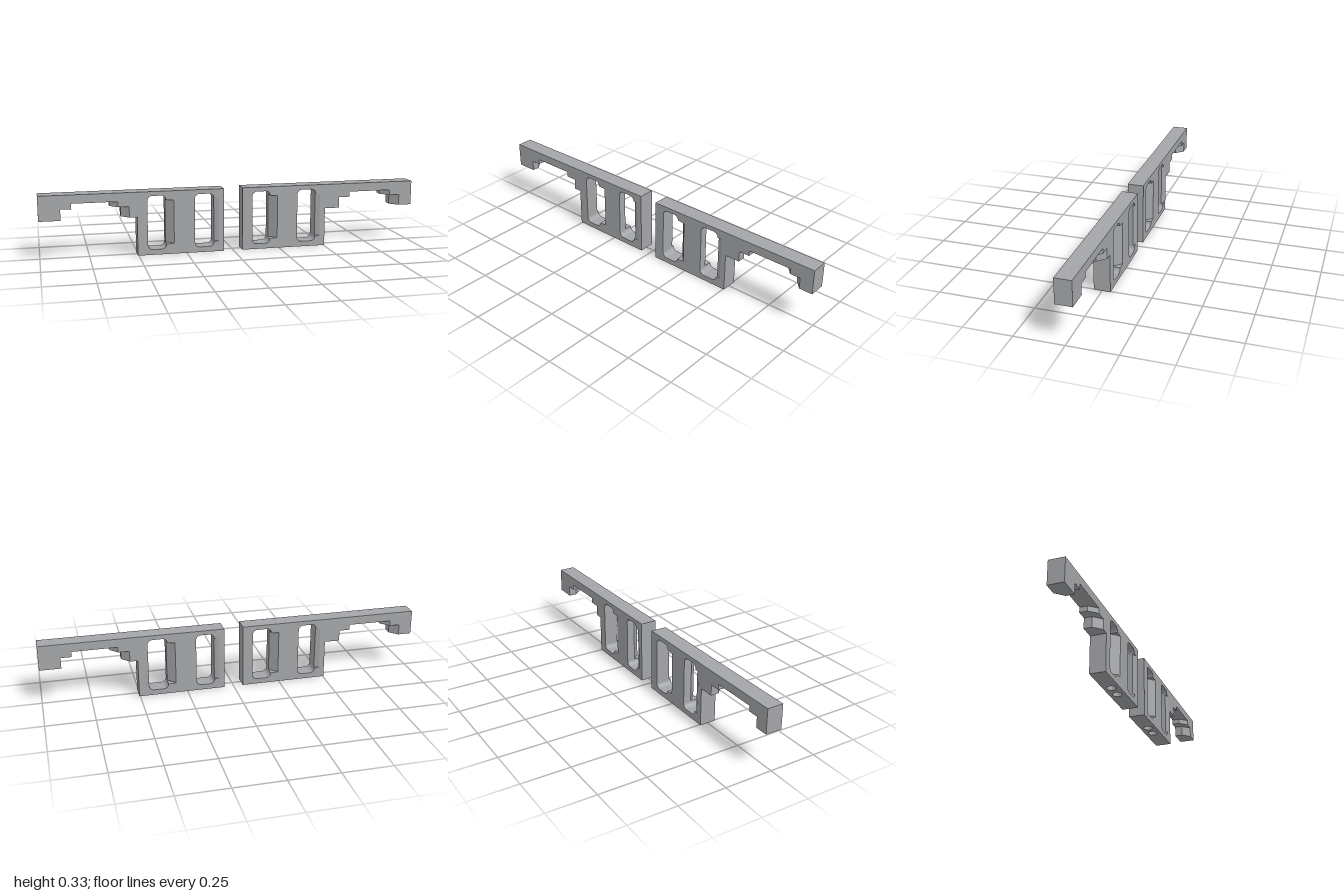
import * as THREE from 'three';

const HALF = 0.0425; // half thickness
const TOP = 0.333;
const ARM = 0.203;   // underside of the arm ends
const LEVELS = [-HALF, -0.032, 0, 0.032, HALF];
const BEVEL = 0.04;

const steel = new THREE.MeshStandardMaterial({ color: 0xa3a5a8, side: THREE.DoubleSide });
steel.name = 'grey';

// A profile point: front / back are deep bevel shifts, lipF / lipB shallow ones
const pt = (x, y, o = {}) => ({ x, y, front: 0, back: 0, lipF: 0, lipB: 0, ...o });

// Position of a profile point at a given depth
function at(p, z) {
  const deep = (z > 0 ? p.front : p.back) * Math.abs(z) / HALF;
  const lip = Math.abs(z) === HALF ? (z > 0 ? p.lipF : p.lipB) : 0;
  return new THREE.Vector2(p.x + deep + lip, p.y);
}

// Stepped arm and block, counter-clockwise; mirrored for the other side
function outline(mirror) {
  const b = { back: -BEVEL }, f = { front: BEVEL };
  const pts = [
    pt(0.05, 0), pt(0.505, 0), pt(0.505, ARM),
    pt(0.585, ARM, b), pt(0.585, 0.26, b), pt(0.642, 0.26, b), pt(0.642, 0.288, b),
    pt(0.835, 0.288, f), pt(0.835, 0.26, f), pt(0.89, 0.26, f), pt(0.89, ARM, f),
    pt(1, ARM), pt(1, TOP), pt(0.05, TOP),
  ];
  if (!mirror) return pts;
  return pts.map(p => pt(-p.x, p.y, { front: -p.back, back: -p.front })).reverse();
}

// Rounded slot, clockwise, with bevelled pockets along both long walls
function slot(x0, x1, left, right) {
  const y0 = 0.028, y1 = 0.31, r = 0.025, e = 0.0005, lo = 0.055, hi = 0.283;
  const pts = [];
  const corner = (cx, cy, start) => {
    for (let i = 0; i <= 6; i++) {
      const a = start - i / 6 * Math.PI / 2;
      pts.push(pt(cx + r * Math.cos(a), cy + r * Math.sin(a)));
    }
  };
  pts.push(pt(x0, lo + e, left), pt(x0, hi, left));
  corner(x0 + r, y1 - r, Math.PI);
  corner(x1 - r, y1 - r, Math.PI / 2);
  pts.push(pt(x1, hi, right), pt(x1, lo + e, right));
  corner(x1 - r, y0 + r, 0);
  corner(x0 + r, y0 + r, -Math.PI / 2);
  return pts;
}

// Join the profiles level by level and cap both faces
function plate(contour, holes) {
  const pos = [];
  const tri = (...v) => v.forEach(([p, z]) => { const q = at(p, z); pos.push(q.x, q.y, z); });
  for (const loop of [contour, ...holes]) {
    loop.forEach((p, i) => {
      const q = loop[(i + 1) % loop.length];
      if (p.y === 0 && q.y === 0) return; // the drilled base closes this side
      for (let k = 0; k < LEVELS.length - 1; k++) {
        const a = LEVELS[k], b = LEVELS[k + 1];
        tri([p, a], [q, a], [q, b]);
        tri([p, a], [q, b], [p, b]);
      }
    });
  }
  const all = [contour, ...holes].flat();
  for (const z of [-HALF, HALF]) {
    const faces = THREE.ShapeUtils.triangulateShape(
      contour.map(p => at(p, z)), holes.map(h => h.map(p => at(p, z))));
    for (const [a, b, c] of faces) {
      if (z > 0) tri([all[a], z], [all[b], z], [all[c], z]);
      else tri([all[a], z], [all[c], z], [all[b], z]);
    }
  }
  const geo = new THREE.BufferGeometry();
  geo.setAttribute('position', new THREE.Float32BufferAttribute(pos, 3));
  geo.computeVertexNormals();
  return geo;
}

function add(group, name, geo) {
  const mesh = new THREE.Mesh(geo, steel);
  mesh.name = name;
  group.add(mesh);
  return mesh;
}

function bracket(name, mirror) {
  const g = new THREE.Group();
  g.name = name;
  const dx = mirror ? -0.555 : 0; // the slots repeat, they are not mirrored
  add(g, 'slottedPlate', plate(outline(mirror), [
    slot(0.103 + dx, 0.2 + dx, { lipB: -0.025 }, { front: BEVEL }),
    slot(0.35 + dx, 0.452 + dx, { back: -BEVEL }, { lipF: 0.025 }),
  ]));

  // Underside with two blind round holes
  const r = 0.025, depth = 0.06, xs = [0.237 + dx, 0.317 + dx];
  const x0 = 0.05 + dx, x1 = 0.505 + dx;
  const base = new THREE.Shape([
    new THREE.Vector2(x0, -HALF), new THREE.Vector2(x1, -HALF),
    new THREE.Vector2(x1, HALF), new THREE.Vector2(x0, HALF)]);
  for (const x of xs) {
    base.holes.push(new THREE.Path().absarc(x, 0, r, 0, Math.PI * 2, true));
    const bore = new THREE.CylinderGeometry(r, r, depth, 24, 1, true);
    add(g, 'holeWall', bore.translate(x, depth / 2, 0));
    add(g, 'holeEnd', new THREE.CircleGeometry(r, 24).rotateX(Math.PI / 2).translate(x, depth, 0));
  }
  add(g, 'drilledBase', new THREE.ShapeGeometry(base, 12).rotateX(Math.PI / 2));
  return g;
}

export function createModel() {
  const model = new THREE.Group();
  model.name = 'bracketPair';
  model.add(bracket('leftBracket', false), bracket('rightBracket', true));
  return model;
}
